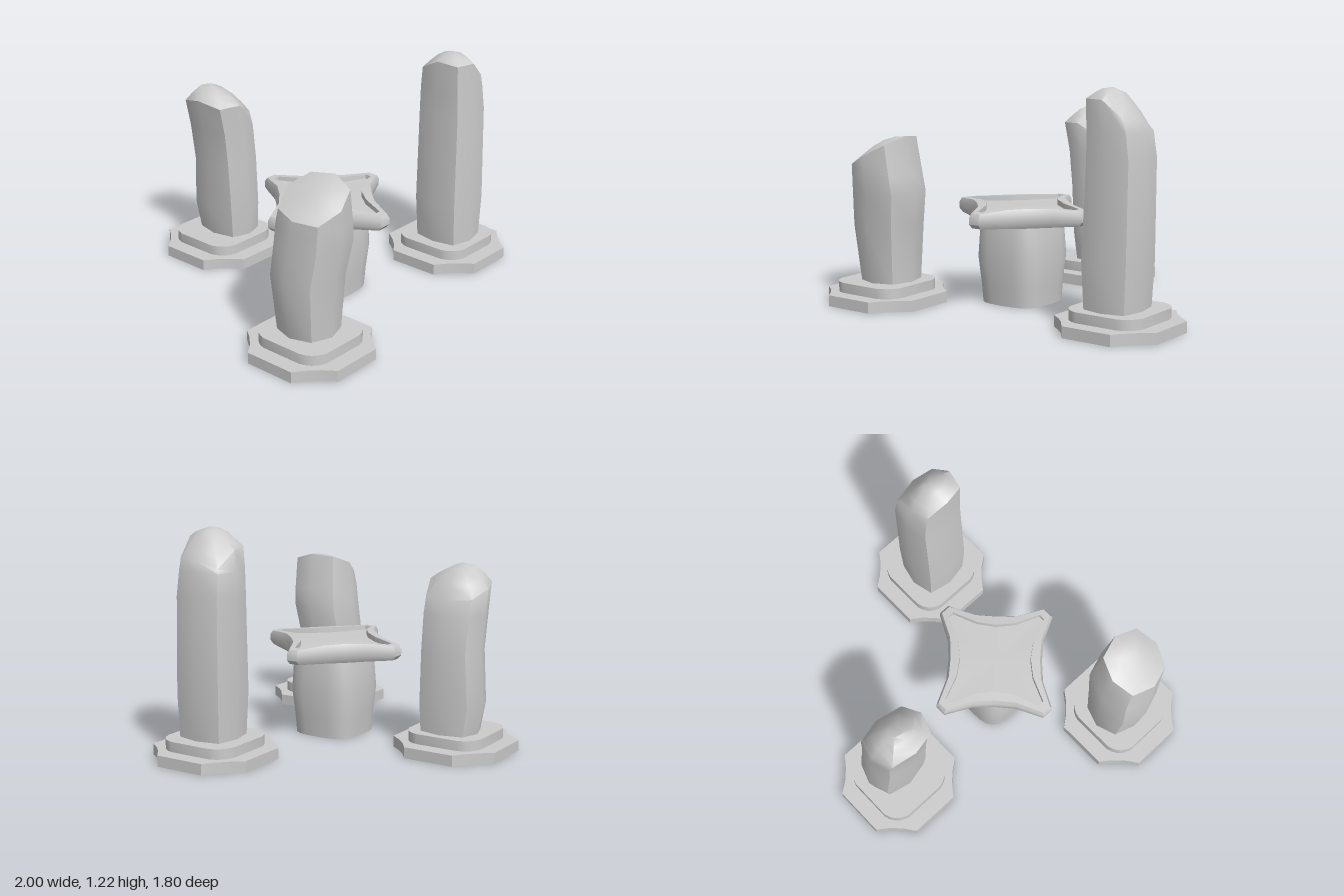
import * as THREE from 'three';
import { toCreasedNormals } from 'three/addons/utils/BufferGeometryUtils.js';

const solid = new THREE.MeshStandardMaterial({ color: 0xcccccc });
const open = new THREE.MeshStandardMaterial({ color: 0xcccccc, side: THREE.DoubleSide });

function addMesh(parent, geometry, name, material = solid) {
  const mesh = new THREE.Mesh(geometry, material);
  mesh.name = name;
  parent.add(mesh);
}

// Skin a stack of rings, listed bottom to top; collapsed rings close the ends
function loft(rings, crease) {
  const pos = [];
  const tri = (a, b, c) => {
    if (a.distanceTo(b) < 1e-5 || b.distanceTo(c) < 1e-5 || c.distanceTo(a) < 1e-5) return;
    for (const p of [a, b, c]) pos.push(p.x, p.y, p.z);
  };
  for (let i = 0; i < rings.length - 1; i++) {
    const lo = rings[i], hi = rings[i + 1], n = lo.length;
    for (let j = 0; j < n; j++) {
      const k = (j + 1) % n;
      tri(lo[j], hi[j], hi[k]);
      tri(lo[j], hi[k], lo[k]);
    }
  }
  const g = new THREE.BufferGeometry();
  g.setAttribute('position', new THREE.Float32BufferAttribute(pos, 3));
  return toCreasedNormals(g, crease);
}

// Repeat a quarter outline four times around the centre
function fourfold(quarter) {
  const out = [];
  for (let q = 0; q < 4; q++) {
    for (let [x, z] of quarter) {
      for (let i = 0; i < q; i++) [x, z] = [-z, x];
      out.push([x, z]);
    }
  }
  return out;
}

// Piecewise linear lookup in [[u, value], ...]
function lookup(table, u) {
  if (u <= table[0][0]) return table[0][1];
  for (let i = 1; i < table.length; i++) {
    const [u0, a] = table[i - 1], [u1, b] = table[i];
    if (u <= u1) return a + (b - a) * (u - u0) / (u1 - u0);
  }
  return table[table.length - 1][1];
}

// Slab with flat sides and curved corners
function slab(half, flat, ctrl, y0, y1, segments) {
  const s = new THREE.Shape();
  s.moveTo(half, -flat);
  const corners = [[1, 1], [-1, 1], [-1, -1], [1, -1]];
  corners.forEach(([x, y], i) => {
    const a = [x * half, y * flat], b = [x * flat, y * half];
    const [from, to] = i % 2 ? [b, a] : [a, b];
    s.lineTo(...from);
    s.quadraticCurveTo(x * ctrl, y * ctrl, ...to);
  });
  const g = new THREE.ExtrudeGeometry(s, { depth: y1 - y0, bevelEnabled: false, curveSegments: segments });
  g.rotateX(-Math.PI / 2).translate(0, y0, 0);
  return toCreasedNormals(g, 0.5);
}

// Square section with bulging sides; levels are [y, x0, x1, z0, z1], the last one is cut by the sloping top
function stone({ corner, levels, ridge, peak, front, back }) {
  const section = fourfold([[corner, -corner], [1, 0]]);
  const place = ([, x0, x1, z0, z1], u, v, y) =>
    new THREE.Vector3((x0 + x1) / 2 + u * (x1 - x0) / 2, y, (z0 + z1) / 2 + v * (z1 - z0) / 2);
  const height = (u, v) => lookup(ridge, u) - (v > peak ? front : back) * (v - peak) ** 2;
  const top = levels[levels.length - 1];
  const rings = [section.map(() => place(levels[0], 0, 0, levels[0][0]))];
  for (const l of levels.slice(0, -1)) rings.push(section.map(([u, v]) => place(l, u, v, l[0])));
  for (const s of [1, 0.75, 0.5, 0.25, 0]) {
    rings.push(section.map(([u, v]) => place(top, u * s, v * s, height(u * s, v * s))));
  }
  return loft(rings, 0.75);
}

const stones = [
  {
    name: 'shortStone', x: -0.696, z: 0.595, corner: 0.75, peak: 0, front: 0.06, back: 0.015,
    ridge: [[-1, 0.76], [-0.1, 0.86], [0.4, 0.9], [1, 0.91]],
    levels: [
      [0.1, -0.83, -0.535, 0.42, 0.725], [0.42, -0.87, -0.515, 0.4, 0.75],
      [0.6, -0.855, -0.485, 0.41, 0.775], [0.7, -0.85, -0.5, 0.42, 0.78],
      [0, -0.845, -0.53, 0.44, 0.78]],
  },
  {
    name: 'middleStone', x: -0.115, z: -0.6, corner: 0.78, peak: -0.2, front: 0.055, back: 0.17,
    ridge: [[-1, 0.94], [-0.3, 1.01], [0.3, 0.975], [0.75, 0.905], [1, 0.83]],
    levels: [
      [0.1, -0.2, 0.06, -0.75, -0.43], [0.27, -0.22, 0.06, -0.78, -0.415],
      [0.55, -0.235, 0.05, -0.755, -0.42], [0.75, -0.255, 0.03, -0.765, -0.42],
      [0, -0.29, 0.005, -0.765, -0.42]],
  },
  {
    name: 'tallStone', x: 0.695, z: 0.4, corner: 0.82, peak: 0.2, front: 0.07, back: 0.07,
    ridge: [[-1, 1.18], [-0.3, 1.22], [0.2, 1.2], [0.7, 1.12], [1, 1.06]],
    levels: [
      [0.1, 0.545, 0.835, 0.26, 0.57], [0.35, 0.53, 0.85, 0.25, 0.575],
      [0.87, 0.55, 0.85, 0.245, 0.56], [1, 0.55, 0.83, 0.25, 0.555],
      [0, 0.545, 0.815, 0.265, 0.55]],
  },
];

// Four-pointed star outline with blunt tips and hollow sides
function star(tip, w, mid) {
  const m = [(w + mid) / 2 - 0.005, (tip + mid) / 2 - 0.025];
  return fourfold([[tip, -w], [tip, w], [m[1], m[0]], [mid, mid], m]);
}

function createTable() {
  const table = new THREE.Group();
  table.name = 'table';
  table.position.set(-0.095, 0, 0.165);

  // Star top with broad rim and shallow sunken floor, thicker toward the middle
  const outer = star(0.415, 0.032, 0.183), rim = star(0.4, 0.028, 0.174);
  const inner = star(0.36, 0.018, 0.138), floor = star(0.358, 0.017, 0.137);
  const point = outer.map(() => [0, 0]);
  const rings = [
    [point, 0.455], [star(0.395, 0.028, 0.17), 0.452], [outer, 0.473], [outer, 0.508],
    [rim, 0.53], [inner, 0.53], [floor, 0.51], [point, 0.506],
  ].map(([outline, y]) => outline.map(([x, z]) => {
    const thickness = 1.9 - 0.9 * Math.hypot(x, z) / 0.41;
    return new THREE.Vector3(x, 0.493 + (y - 0.493) * thickness, z);
  }));
  addMesh(table, loft(rings, 0.65), 'tableTop');

  // Rounded, slightly swollen pillar, hollow from below
  const section = fourfold([[1, -0.4], [1.02, 0], [1, 0.4], [0.95, 0.64], [0.83, 0.83], [0.64, 0.95]]);
  const pillar = [[0, 0.183], [0.1, 0.19], [0.25, 0.205], [0.38, 0.197], [0.45, 0.19]]
    .map(([y, r]) => section.map(([x, z]) => new THREE.Vector3(x * r, y, z * r)));
  addMesh(table, loft(pillar, 0.7), 'tablePillar', open);
  return table;
}

export function createModel() {
  const model = new THREE.Group();
  model.name = 'standingStones';
  for (const spec of stones) {
    const group = new THREE.Group();
    group.name = spec.name;
    const base = new THREE.Group();
    base.name = 'pedestal';
    base.position.set(spec.x, 0, spec.z);
    addMesh(base, slab(0.304, 0.143, 0.205, 0, 0.06, 3), 'pedestalPlate');
    addMesh(base, slab(0.217, 0.12, 0.2, 0.06, 0.115, 5), 'pedestalStep');
    group.add(base);
    addMesh(group, stone(spec), 'stone');
    model.add(group);
  }
  model.add(createTable());
  return model;
}
